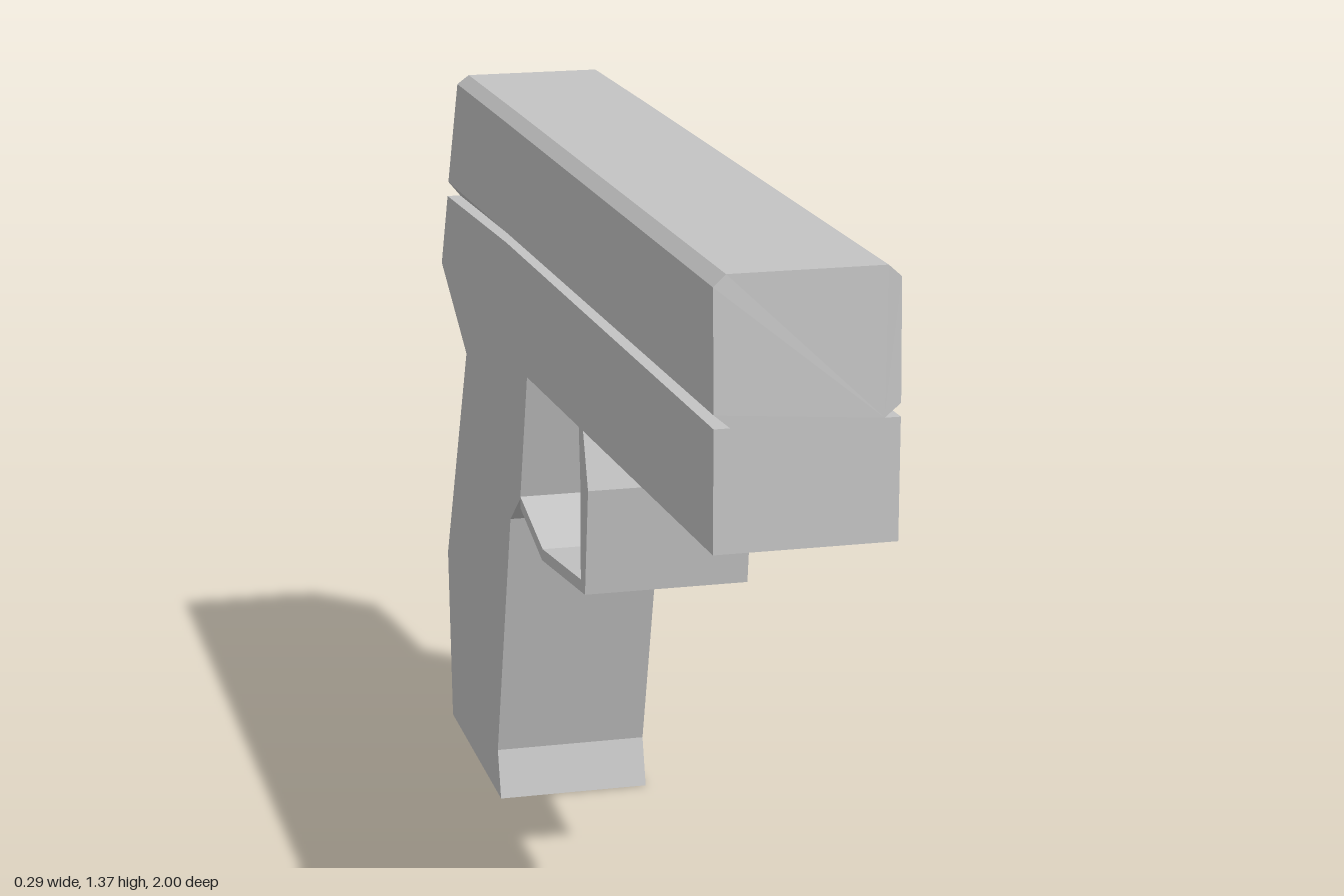
import * as THREE from 'three';

const HALF = 0.143; // half width of the body

const grey = new THREE.MeshStandardMaterial({ color: 0xc4c4c4 });
grey.name = 'lightGrey';
grey.flatShading = true;

// Side profile given as [z, y], extruded across x
function sideExtrude(points) {
  const shape = new THREE.Shape(points.map(([z, y]) => new THREE.Vector2(z, y)));
  const geo = new THREE.ExtrudeGeometry(shape, { depth: HALF * 2, bevelEnabled: false });
  geo.translate(0, 0, -HALF);
  geo.rotateY(-Math.PI / 2);
  return geo;
}

function part(name, geo) {
  const mesh = new THREE.Mesh(geo, grey);
  mesh.name = name;
  return mesh;
}

// Loft through mirrored cross-sections; each station lists [halfWidth, y, z] from bottom to top
function loft(stations) {
  const n = stations[0].length * 2;
  const pos = [], idx = [];
  for (const levels of stations) {
    for (const [w, y, z] of levels) pos.push(w, y, z);
    for (const [w, y, z] of [...levels].reverse()) pos.push(-w, y, z);
  }
  for (let s = 0; s < stations.length - 1; s++) {
    for (let i = 0; i < n; i++) {
      const j = (i + 1) % n;
      const a = s * n + i, b = a + n, c = (s + 1) * n + j, d = s * n + j;
      idx.push(a, b, c, a, c, d);
    }
  }
  // End caps
  const last = (stations.length - 1) * n;
  for (let i = 1; i < n - 1; i++) {
    idx.push(0, i, i + 1, last, last + i + 1, last + i);
  }
  const geo = new THREE.BufferGeometry();
  geo.setAttribute('position', new THREE.Float32BufferAttribute(pos, 3));
  geo.setIndex(idx);
  const flat = geo.toNonIndexed();
  flat.computeVertexNormals();
  return flat;
}

export function createModel() {
  const group = new THREE.Group();
  group.name = 'model';

  // Lower body and raked grip
  group.add(part('frameAndGrip', sideExtrude([
    [1, 1.137], [1, 0.945], [-0.24, 0.9], [-0.305, 0.655], [-0.39, 0.592],
    [-0.45, 0.37], [-0.525, 0.09], [-0.5, 0], [-0.955, 0.012], [-0.98, 0.35],
    [-0.77, 0.812], [-0.997, 0.94], [-0.93, 1.087], [-0.4, 1.11],
  ])));

  // Upper body: undercut groove at the bottom, chamfers on top
  group.add(part('slide', loft([
    [[0.118, 1.137, 1], [HALF, 1.158, 1], [HALF, 1.347, 0.992], [0.123, 1.365, 0.99]],
    [[0.118, 1.11, -0.4], [HALF, 1.129, -0.4], [HALF, 1.331, -0.4], [0.123, 1.349, -0.4]],
    [[0.118, 1.087, -0.93], [HALF, 1.117, -0.92], [HALF, 1.325, -0.82], [0.123, 1.343, -0.81]],
  ])));

  // Angular guard strip, its inner front corner skewed on one side
  const guard = sideExtrude([
    [0.185, 0.918], [0.22, 0.82], [0.195, 0.63], [-0.13, 0.592], [-0.305, 0.638],
    [-0.305, 0.66], [-0.125, 0.614], [0.165, 0.648], [0.19, 0.82], [0.155, 0.917],
  ]);
  const p = guard.attributes.position;
  for (let i = 0; i < p.count; i++) {
    if (p.getX(i) < 0 && Math.abs(p.getZ(i) - 0.19) < 0.001) p.setZ(i, 0.165);
  }
  guard.computeVertexNormals();
  group.add(part('guard', guard));

  return group;
}
